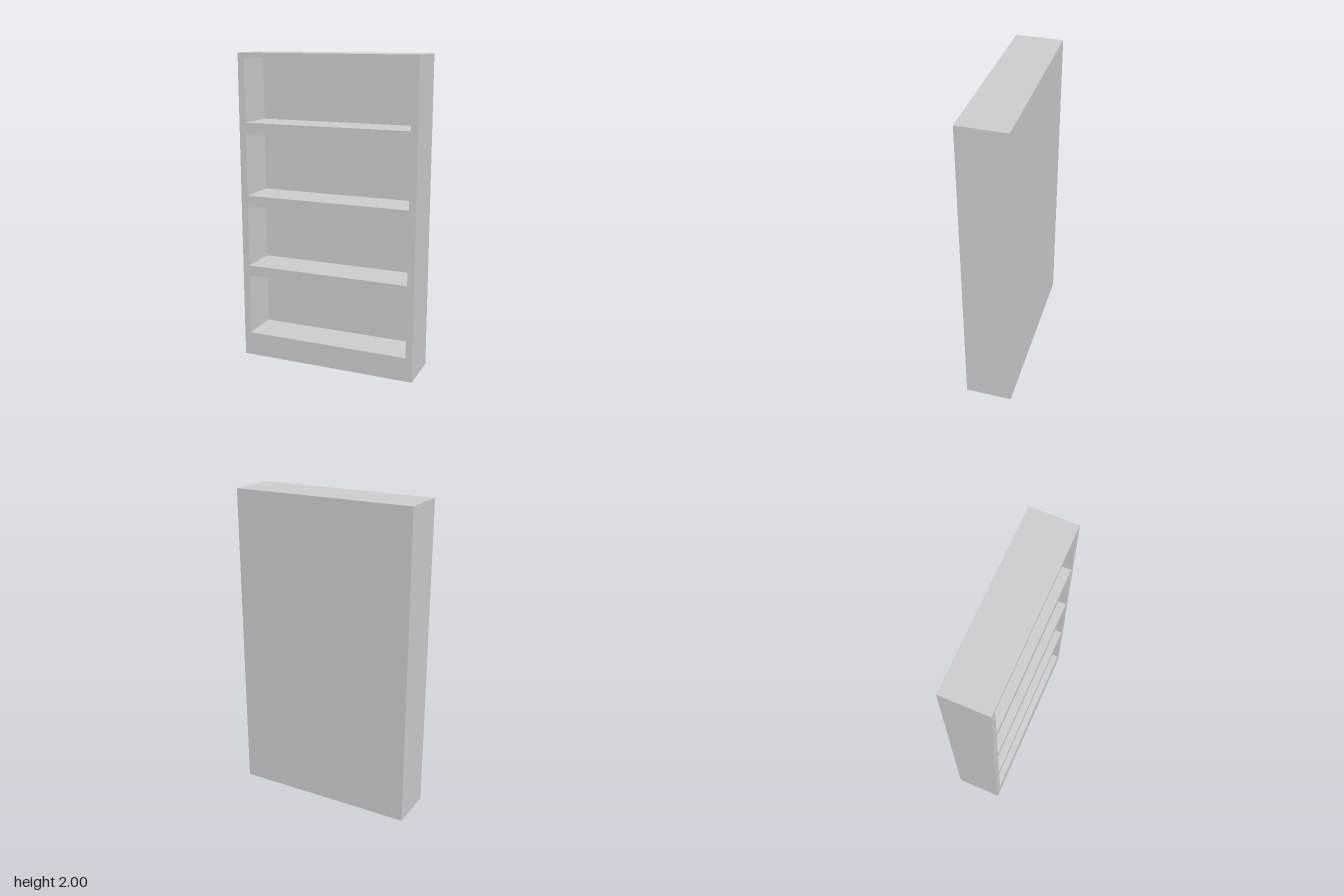
import * as THREE from 'three';

const WIDTH = 1.174, HEIGHT = 2, DEPTH = 0.3;
const WALL = 0.044, BACK = 0.045;
const BAYS = 4, BAY_HEIGHT = 0.403, BAY_PITCH = 0.47, FIRST_BAY = 0.156;

// Traces a rectangle on a Shape or Path
function rectangle(path, x0, y0, x1, y1) {
  path.moveTo(x0, y0);
  path.lineTo(x1, y0);
  path.lineTo(x1, y1);
  path.lineTo(x0, y1);
  path.closePath();
  return path;
}

export function createModel() {
  const group = new THREE.Group();
  group.name = 'bookcase';
  const material = new THREE.MeshStandardMaterial({ color: 0xcccccc });

  // Sides, shelves, plinth and top as one frame with four open bays
  const half = WIDTH / 2;
  const outline = rectangle(new THREE.Shape(), -half, 0, half, HEIGHT);
  for (let i = 0; i < BAYS; i++) {
    const y = FIRST_BAY + i * BAY_PITCH;
    outline.holes.push(rectangle(new THREE.Path(), -half + WALL, y, half - WALL, y + BAY_HEIGHT));
  }
  const frame = new THREE.Mesh(
    new THREE.ExtrudeGeometry(outline, { depth: DEPTH - BACK, bevelEnabled: false }), material);
  frame.name = 'shelfFrame';
  frame.position.z = -DEPTH / 2 + BACK;
  group.add(frame);

  // Solid back closing the bays
  const back = new THREE.Mesh(new THREE.BoxGeometry(WIDTH, HEIGHT, BACK), material);
  back.name = 'backPanel';
  back.position.set(0, HEIGHT / 2, -DEPTH / 2 + BACK / 2);
  group.add(back);

  return group;
}
